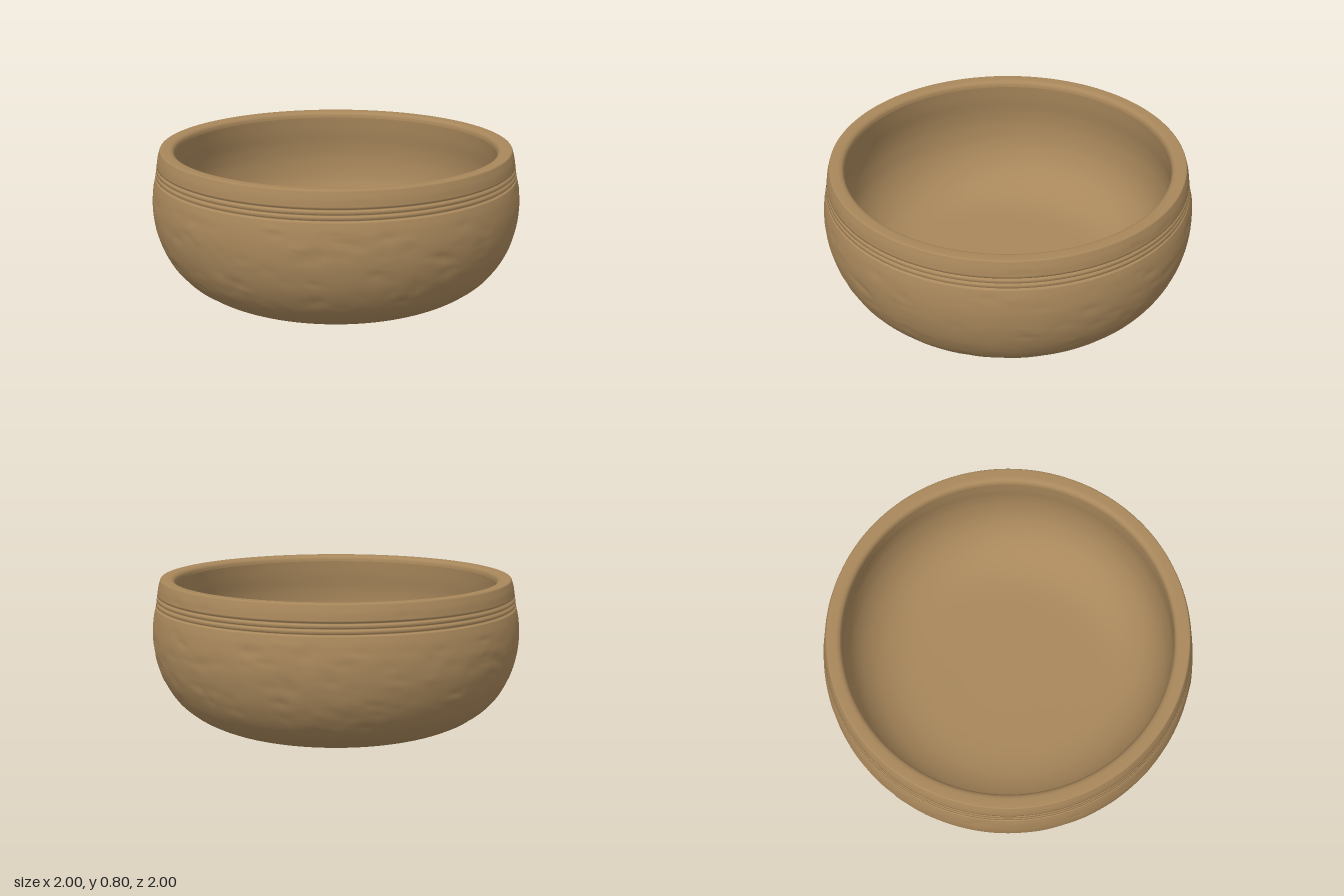
import * as THREE from 'three';
import { mergeVertices } from 'three/addons/utils/BufferGeometryUtils.js';

const SEGMENTS = 192;

function seeded(seed) {
  return () => (seed = (seed * 16807) % 2147483647) / 2147483647;
}

const curve = (pairs, n) =>
  new THREE.SplineCurve(pairs.map(([r, y]) => new THREE.Vector2(r, y))).getPoints(n);

// Revolve a profile and weld the seam so that normals stay smooth
function revolve(points, shift) {
  let geo = new THREE.LatheGeometry(points, SEGMENTS);
  geo.deleteAttribute('uv');
  geo.deleteAttribute('normal');
  geo = mergeVertices(geo, 1e-4);
  const p = geo.attributes.position;
  if (shift) {
    for (let i = 0; i < p.count; i++) {
      const x = p.getX(i), y = p.getY(i), z = p.getZ(i);
      const r = Math.hypot(x, z);
      const k = r > 1e-4 ? 1 + shift(Math.atan2(z, x), y) / r : 1;
      p.setXYZ(i, x * k, y, z * k);
    }
  }
  geo.computeVertexNormals();
  return geo;
}

// Shallow hammer marks scattered over the outer wall
function hammerMarks() {
  const rand = seeded(4711);
  const marks = [];
  for (let i = 0; i < 420; i++) {
    marks.push({
      a: rand() * Math.PI * 2,
      y: 0.06 + 0.55 * Math.pow(rand(), 1.3),
      w: 0.018 + 0.03 * rand(),
      h: 0.014 + 0.02 * rand(),
      d: (rand() < 0.75 ? -1 : 0.7) * (0.0015 + 0.003 * rand()),
    });
  }
  // Upright scrapes just below the rim
  for (let i = 0; i < 24; i++) {
    marks.push({ a: rand() * Math.PI * 2, y: 0.735, w: 0.015 + 0.02 * rand(), h: 0.02, d: -0.004 * rand() });
  }
  return (angle, y) => {
    if (y < 0.03 || y > 0.79) return 0;
    let sum = 0;
    for (const m of marks) {
      const v = (y - m.y) / m.h;
      if (Math.abs(v) > 3) continue;
      let da = Math.abs(angle - m.a) % (Math.PI * 2);
      if (da > Math.PI) da = Math.PI * 2 - da;
      const u = da / m.w;
      if (u < 3) sum += m.d * Math.exp(-u * u - v * v);
    }
    return sum;
  };
}

export function createModel() {
  const group = new THREE.Group();
  group.name = 'bowl';
  const bronze = new THREE.MeshStandardMaterial({ color: 0xa8875b });
  bronze.name = 'bronze';
  const add = (name, geo) => {
    const mesh = new THREE.Mesh(geo, bronze);
    mesh.name = name;
    group.add(mesh);
  };

  // Outer wall: flat foot, round belly, three cut grooves, straight collar
  const belly = curve([[0.55, 0], [0.66, 0.015], [0.78, 0.07], [0.88, 0.155], [0.95, 0.27],
    [0.987, 0.39], [0.998, 0.5], [0.991, 0.59], [0.979, 0.645]], 72);
  const grooves = [];
  for (const y of [0.655, 0.681, 0.707]) {
    const r = 0.979 - (y - 0.645) * 0.15;
    grooves.push([r, y - 0.006], [r - 0.011, y - 0.003], [r - 0.011, y + 0.003], [r - 0.001, y + 0.006]);
  }
  const collar = curve([[0.967, 0.722], [0.962, 0.755], [0.952, 0.79]], 8);
  const outer = [new THREE.Vector2(0, 0), new THREE.Vector2(0.3, 0), ...belly,
    ...grooves.map(([r, y]) => new THREE.Vector2(r, y)), ...collar];
  add('outerWall', revolve(outer, hammerMarks()));

  // Rim: flat top with softened edges
  add('rim', revolve(curve([[0.952, 0.79], [0.949, 0.797], [0.942, 0.8], [0.915, 0.8],
    [0.89, 0.797], [0.875, 0.785], [0.87, 0.765]], 24)));

  // Inner wall: slight undercut, then a dished floor
  add('innerWall', revolve(curve([[0.87, 0.765], [0.878, 0.68], [0.892, 0.58], [0.893, 0.48],
    [0.87, 0.36], [0.81, 0.25], [0.71, 0.165], [0.56, 0.115], [0.3, 0.1], [0, 0.1]], 60)));

  return group;
}
